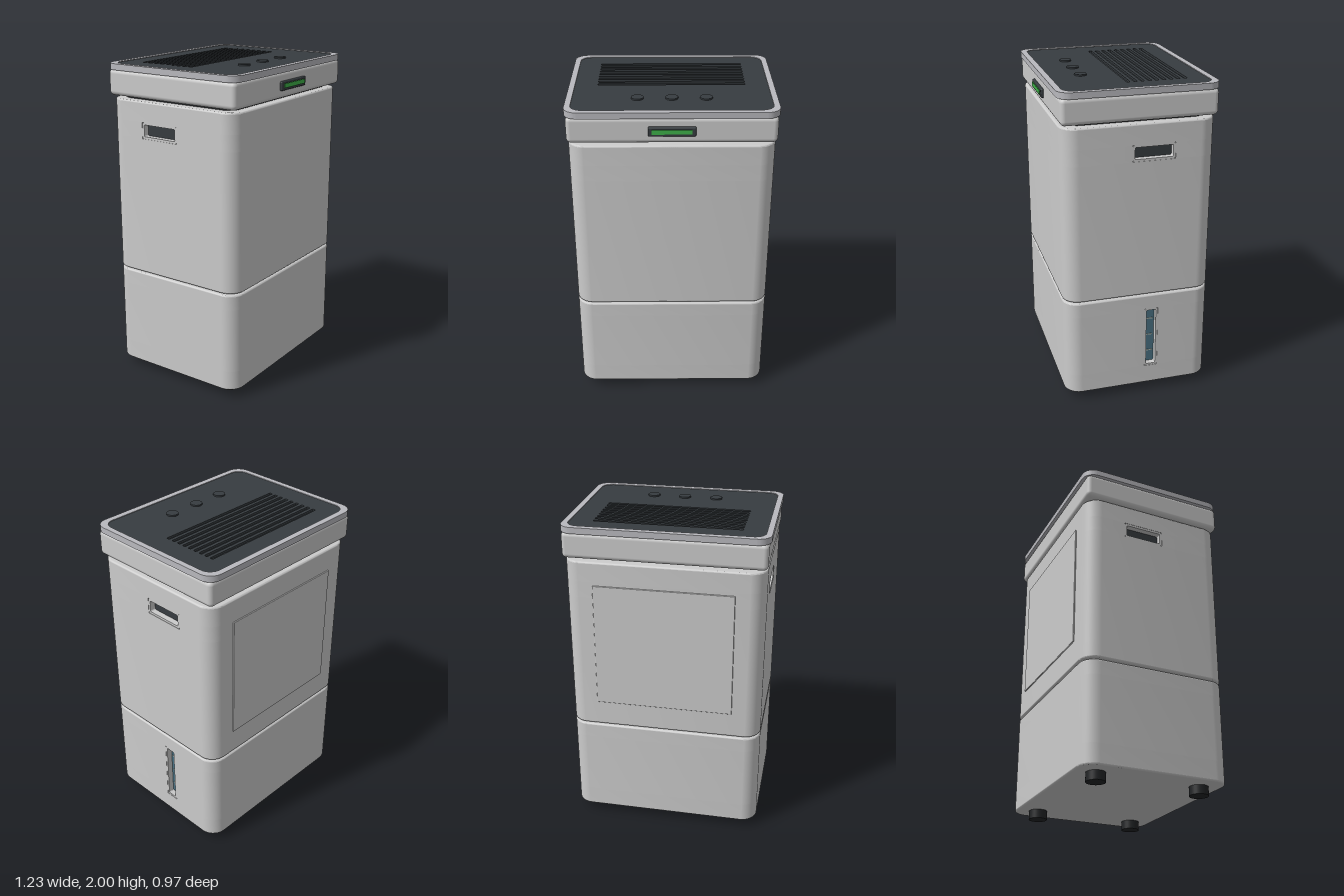
import * as THREE from 'three';
import { toCreasedNormals } from 'three/addons/utils/BufferGeometryUtils.js';
import { RoundedBoxGeometry } from 'three/addons/geometries/RoundedBoxGeometry.js';

const paint = (color) => new THREE.MeshStandardMaterial({ color });
const GREY = paint(0xcccccc), TRIM = paint(0xb9b9be), DARK = paint(0x373c40);
const BLACK = paint(0x222426), GREEN = paint(0x3fb24a), WATER = paint(0x4a7183), TICK = paint(0xa9b8b4);

const W = 0.6, D = 0.465, R = 0.1;      // half width, half depth and corner radius of the body
const POCKET_Z = -0.08, POCKET_DEPTH = 0.045;

// Rounded rectangle; notch = { half, sides } cuts pockets into the x sides.
function roundedRect(w, d, r, cx = 0, cy = 0, notch = null, Type = THREE.Shape) {
  const s = new Type();
  const cut = (side) => {
    if (!notch || !notch.sides.includes(side)) return;
    const a = -POCKET_Z - side * notch.half, b = -POCKET_Z + side * notch.half;
    const inner = side * (w - POCKET_DEPTH);
    s.lineTo(side * w, a); s.lineTo(inner, a); s.lineTo(inner, b); s.lineTo(side * w, b);
  };
  s.moveTo(cx + w, cy - d + r);
  cut(1);
  s.lineTo(cx + w, cy + d - r);
  s.absarc(cx + w - r, cy + d - r, r, 0, Math.PI / 2);
  s.lineTo(cx - w + r, cy + d);
  s.absarc(cx - w + r, cy + d - r, r, Math.PI / 2, Math.PI);
  cut(-1);
  s.lineTo(cx - w, cy - d + r);
  s.absarc(cx - w + r, cy - d + r, r, Math.PI, Math.PI * 1.5);
  s.lineTo(cx + w - r, cy - d);
  s.absarc(cx + w - r, cy - d + r, r, Math.PI * 1.5, Math.PI * 2);
  return s;
}
const holeRect = (w, d, r, cx, cy) => roundedRect(w, d, r, cx, cy, null, THREE.Path);

function add(parent, name, geometry, material, x = 0, y = 0, z = 0) {
  const mesh = new THREE.Mesh(geometry, material);
  mesh.name = name;
  mesh.position.set(x, y, z);
  parent.add(mesh);
  return mesh;
}

// Plan shape raised from y0 to y1, with an optional rounded edge of size b.
function slab(parent, name, shape, y0, y1, material, b = 0) {
  const g = new THREE.ExtrudeGeometry(shape, {
    depth: y1 - y0 - 2 * b, curveSegments: 8, bevelEnabled: b > 0,
    bevelSize: b, bevelOffset: -b, bevelThickness: b, bevelSegments: 3,
  });
  g.translate(0, 0, b).rotateX(-Math.PI / 2);
  return add(parent, name, toCreasedNormals(g, 0.6), material, 0, y0, 0);
}

// Body section with rounded rims and one pocket band between p0 and p1.
function bodySection(parent, name, y0, y1, p0, p1, notch) {
  const g = new THREE.Group();
  g.name = name;
  parent.add(g);
  const e = 0.01, plan = roundedRect(W, D, R);
  slab(g, 'lowerRim', plan, y0, y0 + 2 * e + 0.001, GREY, e);
  slab(g, 'lowerWall', plan, y0 + e, p0, GREY);
  slab(g, 'pocketWall', roundedRect(W, D, R, 0, 0, notch), p0, p1, GREY);
  slab(g, 'upperWall', plan, p1, y1 - e, GREY);
  slab(g, 'upperRim', plan, y1 - 2 * e - 0.001, y1, GREY, e);
  return g;
}

// Frame sleeve and backing inside a side pocket.
function pocketInsert(parent, name, side, y0, y1, half, rim, material) {
  const g = new THREE.Group();
  g.name = name;
  g.position.set(side * (W - POCKET_DEPTH), (y0 + y1) / 2, POCKET_Z);
  g.rotation.y = side * Math.PI / 2;
  parent.add(g);
  const h = (y1 - y0) / 2;
  const frame = roundedRect(half, h, 0.015);
  frame.holes.push(holeRect(half - rim, h - rim, 0.008, 0, 0));
  const geo = new THREE.ExtrudeGeometry(frame, { depth: POCKET_DEPTH - 0.002, bevelEnabled: false, curveSegments: 5 });
  add(g, 'frame', toCreasedNormals(geo, 0.6), GREY);
  add(g, 'backing', new THREE.BoxGeometry(2 * half - rim, 2 * h - rim, 0.006), material, 0, 0, 0.003);
  return g;
}

export function createModel() {
  const root = new THREE.Group();
  root.name = 'dehumidifier';
  const m = new THREE.Group();
  m.name = 'cabinet';
  m.position.z = -0.005;
  root.add(m);

  // Feet
  for (const x of [-0.457, 0.457]) for (const z of [-0.33, 0.33])
    add(m, 'foot', new THREE.CylinderGeometry(0.058, 0.058, 0.06, 32), BLACK, x, 0.03, z);

  // Water tank and main body, separated by dark recessed seams
  bodySection(m, 'waterTank', 0.055, 0.685, 0.18, 0.59, { half: 0.0425, sides: [1] });
  slab(m, 'tankSeam', roundedRect(0.5, 0.37, 0.06), 0.68, 0.70, BLACK);
  bodySection(m, 'mainBody', 0.695, 1.785, 1.56, 1.66, { half: 0.13, sides: [-1, 1] });
  slab(m, 'lidSeam', roundedRect(0.54, 0.405, 0.06), 1.78, 1.81, BLACK);

  // Hand grips on both sides, level window on the left
  for (const side of [-1, 1]) pocketInsert(m, 'handGrip', side, 1.56, 1.66, 0.13, 0.014, DARK);
  const gauge = pocketInsert(m, 'levelWindow', 1, 0.18, 0.59, 0.0425, 0.012, WATER);
  for (const y of [0.27, 0.385, 0.5])
    add(gauge, 'levelMark', new THREE.BoxGeometry(0.042, 0.007, 0.004), TICK, 0, y - 0.385, 0.007);

  // Rear filter panel
  add(m, 'filterPanel', new RoundedBoxGeometry(0.85, 0.785, 0.02, 2, 0.004), GREY, 0, 1.2475, -0.463);

  // Lid
  add(m, 'lid', new RoundedBoxGeometry(1.206, 0.16, 0.935, 4, 0.028), GREY, 0, 1.88, 0);

  // Top rim with inset control panel, slotted for the air outlet
  const rim = roundedRect(0.613, 0.48, 0.08);
  rim.holes.push(holeRect(0.578, 0.4425, 0.07, 0, 0));
  slab(m, 'topRim', rim, 1.957, 1.995, TRIM);
  const panel = roundedRect(0.578, 0.4425, 0.07);
  for (let i = 0; i < 9; i++) panel.holes.push(holeRect(0.443, 0.011, 0.008, 0, 0.315 - i * 0.0434));
  slab(m, 'controlPanel', panel, 1.978, 1.991, DARK);
  slab(m, 'outletFloor', roundedRect(0.57, 0.435, 0.07), 1.96, 1.978, DARK);

  // Buttons
  for (const x of [-0.2, 0, 0.2])
    add(m, 'button', new THREE.CylinderGeometry(0.037, 0.037, 0.02, 32), DARK, x, 1.99, 0.255);

  // Front display
  add(m, 'displayFrame', new RoundedBoxGeometry(0.274, 0.056, 0.03, 3, 0.008), DARK, 0, 1.878, 0.468);
  add(m, 'displayScreen', new THREE.BoxGeometry(0.23, 0.026, 0.02), GREEN, 0, 1.879, 0.479);

  return root;
}
